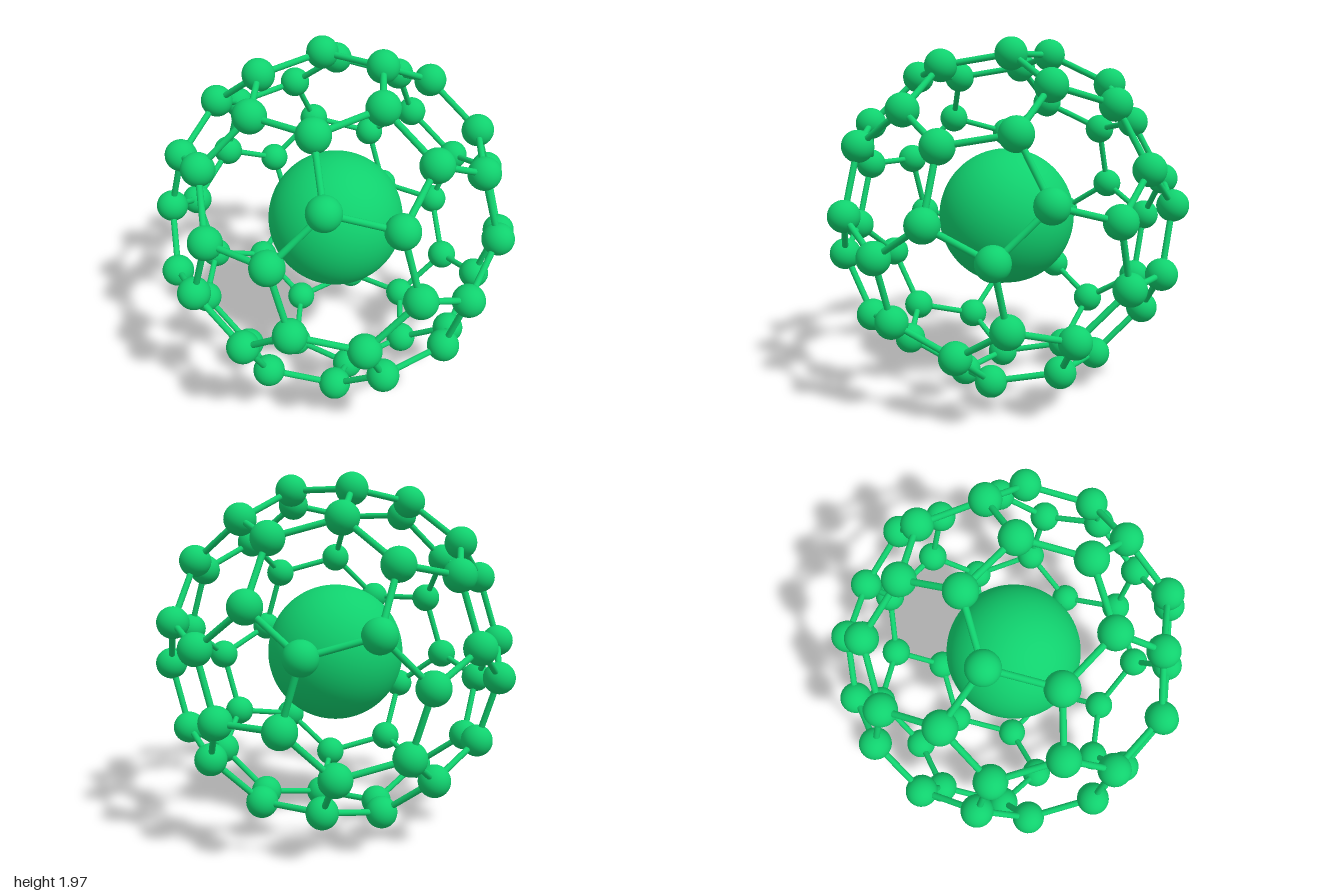
import * as THREE from 'three';

const SCALE = 1.073;      // circumradius of the parent icosahedron
const ATOM_R = 0.087;
const BOND_R = 0.017;
const CORE_R = 0.382;
const CENTRE_Y = 0.985;

// Icosahedron corners with a five-fold axis along z
function icosahedronCorners() {
  const h = 1 / Math.sqrt(5), r = 2 / Math.sqrt(5);
  const corners = [new THREE.Vector3(0, 0, 1), new THREE.Vector3(0, 0, -1)];
  for (let k = 0; k < 5; k++) {
    const a = -Math.PI / 2 + (k * 2 * Math.PI) / 5;
    corners.push(new THREE.Vector3(r * Math.cos(a), r * Math.sin(a), h));
    corners.push(new THREE.Vector3(-r * Math.cos(a), -r * Math.sin(a), -h));
  }
  return corners.map((c) => c.multiplyScalar(SCALE));
}

// Truncation: two points on every icosahedron edge give the 60 cage corners
function cageCorners() {
  const corners = icosahedronCorners();
  const points = [];
  for (const a of corners) {
    for (const b of corners) {
      if (a !== b && a.distanceTo(b) < 1.1 * SCALE) points.push(a.clone().lerp(b, 1 / 3));
    }
  }
  return points;
}

export function createModel() {
  const model = new THREE.Group();
  model.name = 'sphericalCage';
  const material = new THREE.MeshStandardMaterial({ color: 0x10d16e });
  const add = (parent, name, geometry, position) => {
    const mesh = new THREE.Mesh(geometry, material);
    mesh.name = name;
    mesh.position.copy(position);
    parent.add(mesh);
    return mesh;
  };

  // Large ball in the middle
  const body = new THREE.Group();
  body.name = 'body';
  body.position.y = CENTRE_Y;
  model.add(body);
  add(body, 'core', new THREE.SphereGeometry(CORE_R, 64, 40), new THREE.Vector3());

  // Balls at the cage corners
  const atoms = new THREE.Group();
  atoms.name = 'atoms';
  const points = cageCorners();
  const atomGeometry = new THREE.SphereGeometry(ATOM_R, 28, 18);
  points.forEach((p) => add(atoms, 'atom', atomGeometry, p));

  // Rods between neighbouring corners
  const bonds = new THREE.Group();
  bonds.name = 'bonds';
  const edge = 0.3505 * SCALE;
  const bondGeometry = new THREE.CylinderGeometry(BOND_R, BOND_R, edge, 16, 1, true);
  const up = new THREE.Vector3(0, 1, 0);
  points.forEach((p, i) => {
    for (const q of points.slice(i + 1)) {
      if (p.distanceTo(q) > edge * 1.1) continue;
      const rod = add(bonds, 'bond', bondGeometry, p.clone().lerp(q, 0.5));
      rod.quaternion.setFromUnitVectors(up, q.clone().sub(p).normalize());
    }
  });

  body.add(atoms, bonds);
  return model;
}
